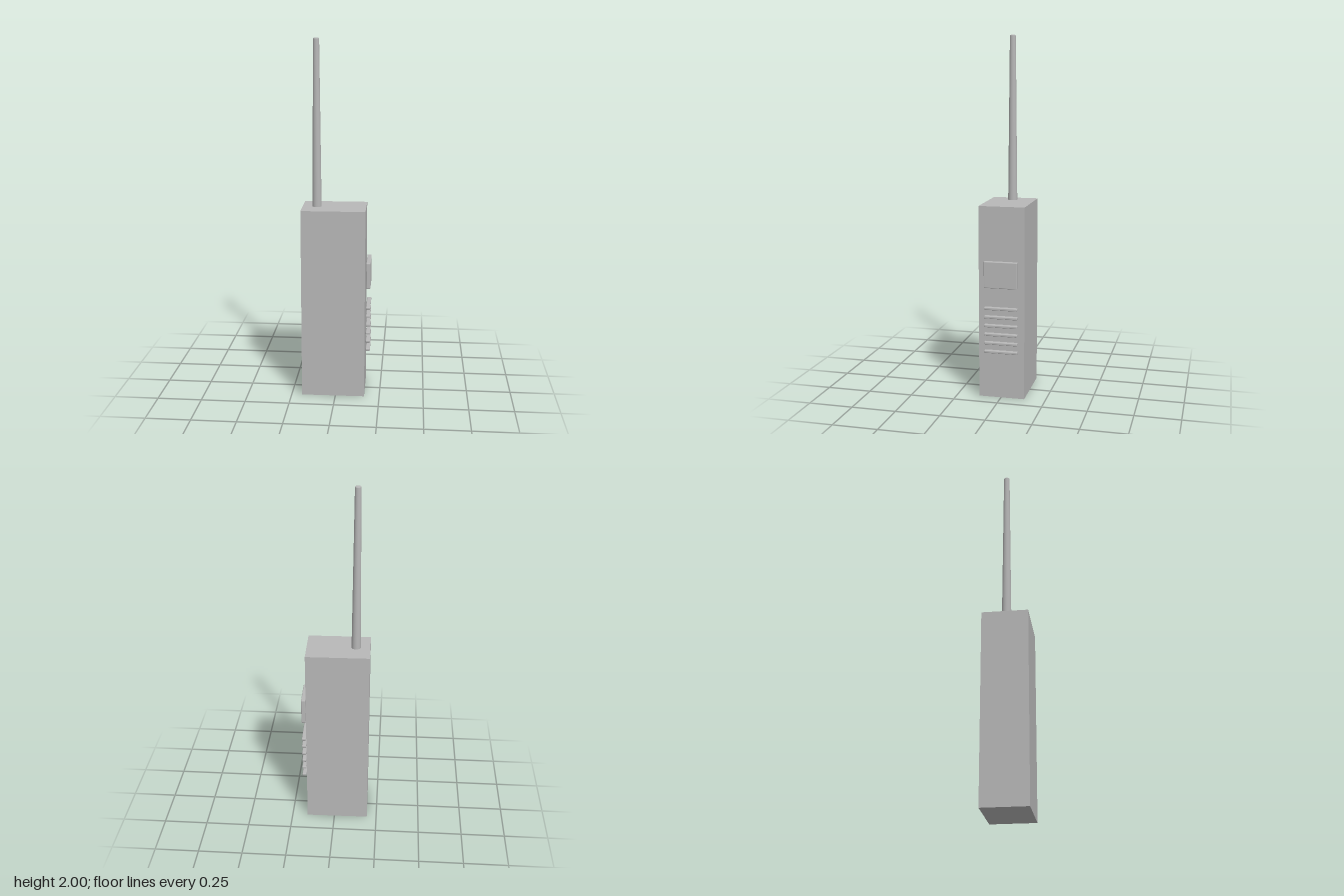
import * as THREE from 'three';
import { RoundedBoxGeometry } from 'three/addons/geometries/RoundedBoxGeometry.js';

export function createModel() {
  const model = new THREE.Group();
  model.name = 'handheldRadio';
  const casing = new THREE.MeshStandardMaterial({ color: 0xb8b8b8 });
  casing.name = 'casing grey';

  const add = (name, geometry, x, y, z) => {
    const mesh = new THREE.Mesh(geometry, casing);
    mesh.name = name;
    mesh.position.set(x, y, z);
    handset.add(mesh);
  };

  // The whole handset is turned very slightly about its vertical axis
  const handset = new THREE.Group();
  handset.name = 'handset';
  handset.position.set(-0.015, 0, -0.001);
  handset.rotation.y = 0.014;
  model.add(handset);

  // Main casing
  add('body', new THREE.BoxGeometry(0.355, 1.08, 0.257), 0, 0.54, 0);

  // Tapered antenna with a small chamfer at the tip
  const profile = [[0, 0], [0.026, 0], [0.0165, 0.915], [0.0145, 0.92], [0, 0.92]]
    .map(([r, y]) => new THREE.Vector2(r, y));
  add('antenna', new THREE.LatheGeometry(profile, 32), -0.098, 1.08, 0);

  // Raised panel on the left side
  add('sidePanel', new RoundedBoxGeometry(0.024, 0.148, 0.187, 2, 0.004), 0.195, 0.705, 0);

  // Speaker ribs below the panel
  for (let i = 0; i < 6; i++) {
    add('speakerRib', new RoundedBoxGeometry(0.024, 0.015, 0.187, 2, 0.004), 0.195, 0.269 + i * 0.0492, 0);
  }
  return model;
}
